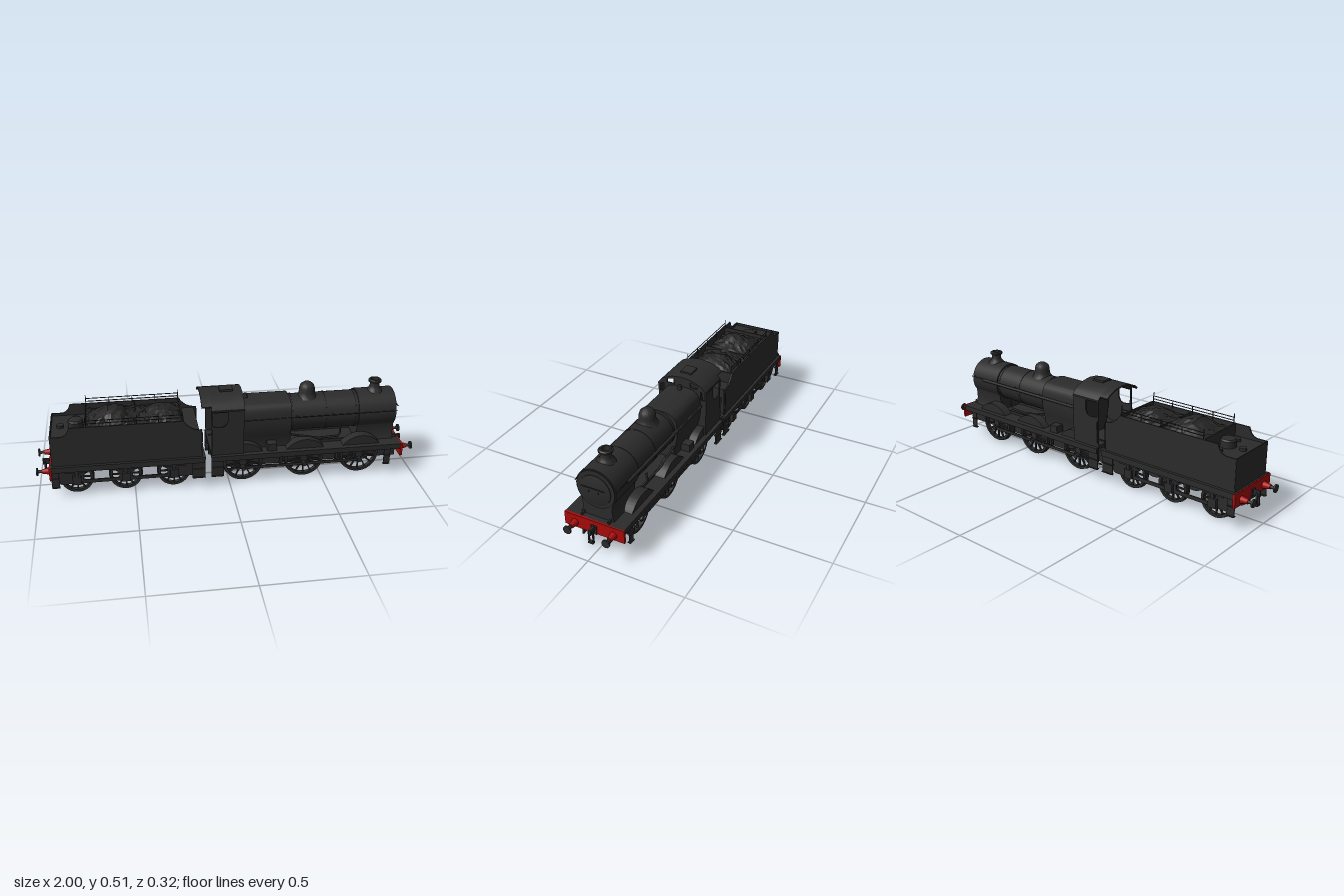
import * as THREE from 'three';
import { toCreasedNormals } from 'three/addons/utils/BufferGeometryUtils.js';

const mat = (name, color) => Object.assign(new THREE.MeshStandardMaterial({ color }), { name });
const black = mat('black paint', 0x2b2b2b);
const red = mat('buffer beam red', 0xa80c0c);
const coalMat = mat('coal', 0x262626);

function add(parent, name, geo, m = black, x = 0, y = 0, z = 0) {
  const mesh = new THREE.Mesh(geo, m);
  mesh.name = name;
  mesh.position.set(x, y, z);
  parent.add(mesh);
  return mesh;
}
// Box given by its limits
const box = (p, name, x0, x1, y0, y1, z0, z1, m) =>
  add(p, name, new THREE.BoxGeometry(x1 - x0, y1 - y0, z1 - z0), m, (x0 + x1) / 2, (y0 + y1) / 2, (z0 + z1) / 2);
const poly = pts => new THREE.Shape(pts.map(p => new THREE.Vector2(...p)));
const hole = (shape, pts) => { shape.holes.push(poly(pts)); return shape; };
const extrude = (shape, depth) => toCreasedNormals(
  new THREE.ExtrudeGeometry(shape, { depth, bevelEnabled: false, curveSegments: 16 }), 0.6);
// Side outline (x, y) extruded along z
const plateZ = (p, name, shape, z0, z1, m) => add(p, name, extrude(shape, z1 - z0), m, 0, 0, z0);
// Cross-section (z, y) extruded along x
const plateX = (p, name, shape, x0, x1, m) => add(p, name, extrude(shape, x1 - x0).rotateY(Math.PI / 2), m, x0);
// Cylinder along x
const cylX = (p, name, r, x0, x1, y, z, m, seg = 40) =>
  add(p, name, new THREE.CylinderGeometry(r, r, x1 - x0, seg).rotateZ(-Math.PI / 2), m, (x0 + x1) / 2, y, z);
const lathe = (pts, seg = 36) => toCreasedNormals(
  new THREE.LatheGeometry(pts.map(p => new THREE.Vector2(...p)), seg), 0.6);
// Thin bar along straight segments
function rod(p, name, pts, r) {
  const path = new THREE.CurvePath();
  const v = pts.map(q => new THREE.Vector3(...q));
  for (let i = 1; i < v.length; i++) path.add(new THREE.LineCurve3(v[i - 1], v[i]));
  add(p, name, new THREE.TubeGeometry(path, (v.length - 1) * 4, r, 6));
}
// Builds a part on +z and mirrors it to -z
function bothSides(parent, name, build) {
  for (const s of [1, -1]) {
    const g = new THREE.Group();
    g.name = name;
    g.scale.z = s;
    build(g);
    parent.add(g);
  }
}

function wheel(p, x, r, spokes) {
  const g = new THREE.Group();
  g.name = 'wheel';
  g.position.set(x, r + 0.001, 0.092);
  const t = r - 0.005;
  add(g, 'tyre', lathe([[t - 0.014, -0.012], [r, -0.012], [r, -0.007], [t, -0.005], [t, 0.012], [t - 0.014, 0.012], [t - 0.014, -0.012]], 40).rotateX(Math.PI / 2));
  add(g, 'hub', new THREE.CylinderGeometry(0.02, 0.02, 0.028, 20).rotateX(Math.PI / 2));
  for (let i = 0; i < spokes; i++) {
    const s = add(g, 'spoke', new THREE.BoxGeometry(0.007, r - 0.02, 0.01).translate(0, r / 2, 0));
    s.rotation.z = i / spokes * Math.PI * 2;
  }
  add(g, 'axle', new THREE.CylinderGeometry(0.011, 0.011, 0.092, 12).rotateX(Math.PI / 2), black, 0, 0, -0.046);
  p.add(g);
}

function bufferEnd(parent, dir) {
  const g = new THREE.Group();
  g.name = 'bufferEnd';
  box(g, 'bufferBeam', 0.92, 0.932, 0.115, 0.185, -0.16, 0.16, red);
  bothSides(g, 'buffer', s => {
    add(s, 'bufferHousing', new THREE.CylinderGeometry(0.012, 0.019, 0.038, 20).rotateZ(-Math.PI / 2), red, 0.95, 0.143, 0.103);
    cylX(s, 'bufferShank', 0.008, 0.96, 0.995, 0.143, 0.103, black, 16);
    cylX(s, 'bufferHead', 0.021, 0.992, 1, 0.143, 0.103, black, 28);
    box(s, 'couplingLink', 0.955, 0.965, 0.085, 0.15, 0.009, 0.014);
  });
  box(g, 'couplingHook', 0.93, 0.972, 0.13, 0.16, -0.006, 0.006);
  box(g, 'couplingPlate', 0.93, 0.938, 0.115, 0.162, -0.015, 0.015);
  box(g, 'couplingShackle', 0.952, 0.968, 0.08, 0.09, -0.014, 0.014);
  if (dir < 0) g.rotation.y = Math.PI;
  parent.add(g);
}

function step(p, x0, x1) {
  box(p, 'stepPlate', x0, x1, 0.062, 0.18, 0.144, 0.148);
  box(p, 'stepTread', x0, x1, 0.064, 0.068, 0.136, 0.154);
  box(p, 'stepTread', x0, x1, 0.115, 0.119, 0.136, 0.154);
}

function buildLocomotive(root) {
  const g = new THREE.Group();
  g.name = 'locomotive';
  root.add(g);
  box(g, 'footplate', -0.1, 0.925, 0.175, 0.185, -0.158, 0.158);
  bufferEnd(g, 1);

  // Boiler, smokebox and firebox
  cylX(g, 'boiler', 0.098, 0.3, 0.72, 0.342, 0);
  for (const x of [0.34, 0.52, 0.68]) cylX(g, 'boilerBand', 0.1, x, x + 0.008, 0.342, 0);
  const smoke = new THREE.Shape();
  smoke.moveTo(0.09, 0.18);
  smoke.quadraticCurveTo(0.072, 0.22, 0.0825, 0.277);
  smoke.absarc(0, 0.342, 0.105, -0.667, Math.PI + 0.667, false);
  smoke.quadraticCurveTo(-0.072, 0.22, -0.09, 0.18);
  plateX(g, 'smokebox', smoke, 0.695, 0.895);
  add(g, 'smokeboxDoor', lathe([[0.083, 0], [0.081, 0.008], [0.06, 0.014], [0.03, 0.018], [0, 0.019]], 40).rotateZ(-Math.PI / 2), black, 0.895, 0.338);
  cylX(g, 'smokeboxRim', 0.1, 0.89, 0.9, 0.342, 0);
  rod(g, 'doorRail', [[0.922, 0.362, -0.063], [0.922, 0.362, 0.063]], 0.003);
  for (const z of [-0.025, 0.025]) rod(g, 'doorHandle', [[0.918, 0.345, z], [0.918, 0.335, z]], 0.002);
  const fire = new THREE.Shape();
  fire.moveTo(0.085, 0.18);
  fire.bezierCurveTo(0.085, 0.25, 0.108, 0.27, 0.108, 0.34);
  fire.bezierCurveTo(0.108, 0.42, 0.09, 0.443, 0, 0.443);
  fire.bezierCurveTo(-0.09, 0.443, -0.108, 0.42, -0.108, 0.34);
  fire.bezierCurveTo(-0.108, 0.27, -0.085, 0.25, -0.085, 0.18);
  plateX(g, 'firebox', fire, 0.04, 0.33);
  cylX(g, 'ejectorPipe', 0.008, 0.07, 0.8, 0.355, -0.109, black, 12);
  add(g, 'chimney', lathe([[0.05, -0.014], [0.045, 0], [0.032, 0.012], [0.026, 0.025], [0.025, 0.045], [0.035, 0.05], [0.035, 0.058], [0.028, 0.064], [0.02, 0.064], [0.018, 0.02], [0, 0.02]]), black, 0.8, 0.441);
  add(g, 'dome', lathe([[0.058, -0.012], [0.046, 0.003], [0.042, 0.02], [0.041, 0.04], [0.035, 0.057], [0.02, 0.069], [0, 0.073]]), black, 0.43, 0.439);
  add(g, 'safetyValve', new THREE.CylinderGeometry(0.01, 0.014, 0.03, 16), black, 0.1, 0.45);

  // Cab front, roof and floor
  const front = poly([[-0.137, 0.18], [0.137, 0.18], [0.137, 0.437], [0.104, 0.47], [0.055, 0.49], [0, 0.496], [-0.055, 0.49], [-0.104, 0.47], [-0.137, 0.437]]);
  for (const s of [-1, 1]) {
    hole(front, [[0.045 * s, 0.448], [0.087 * s, 0.448], [0.087 * s, 0.469], [0.045 * s, 0.478]]);
    hole(front, [[0.107 * s, 0.39], [0.129 * s, 0.39], [0.129 * s, 0.428], [0.107 * s, 0.44]]);
  }
  plateX(g, 'cabFront', front, 0.065, 0.073);
  const arc = [[0.14, 0.435], [0.122, 0.458], [0.104, 0.473], [0.055, 0.493], [0, 0.5]];
  const roofShape = half => {
    const full = [...half, ...half.slice(0, -1).reverse().map(([z, y]) => [-z, y])];
    return poly([...full, ...full.slice().reverse().map(([z, y]) => [z * 0.97, y - 0.008])]);
  };
  plateX(g, 'cabRoof', roofShape(arc), -0.095, 0.077);
  plateX(g, 'cabRoofOverhang', roofShape(arc.slice(1)), -0.145, -0.095);
  box(g, 'roofVent', -0.04, 0.03, 0.485, 0.507, -0.03, 0.03);
  box(g, 'cabFloor', -0.1, 0.06, 0.185, 0.195, -0.135, 0.135);

  // Frames, valance, cab side, rods and wheels
  bothSides(g, 'locomotiveSide', s => {
    box(s, 'mainFrame', -0.09, 0.92, 0.075, 0.2, 0.068, 0.076);
    box(s, 'valance', -0.1, 0.925, 0.155, 0.18, 0.15, 0.156);
    const side = poly([[-0.097, 0.18], [0.073, 0.18], [0.073, 0.44], [-0.097, 0.44]]);
    hole(side, [[-0.088, 0.35], [-0.04, 0.345], [-0.022, 0.353], [-0.012, 0.375], [-0.01, 0.43], [-0.088, 0.43]]);
    plateZ(s, 'cabSide', side, 0.131, 0.138);
    rod(s, 'cabHandrail', [[-0.095, 0.21, 0.137], [-0.095, 0.21, 0.145], [-0.095, 0.33, 0.145], [-0.095, 0.33, 0.137]], 0.002);
    rod(s, 'boilerHandrail', [[0.075, 0.36, 0.113], [0.9, 0.36, 0.109]], 0.0025);
    for (const x of [0.36, 0.55, 0.73, 0.88]) rod(s, 'handrailKnob', [[x, 0.36, 0.09], [x, 0.36, 0.112]], 0.004);
    for (const x of [0.075, 0.405, 0.71]) {
      wheel(s, x, 0.109, 14);
      add(s, 'crankPin', new THREE.CylinderGeometry(0.012, 0.012, 0.03, 16).rotateX(Math.PI / 2), black, x, 0.085, 0.113);
      const arch = new THREE.Shape();
      arch.moveTo(x - 0.101, 0.183);
      arch.absarc(x, 0.11, 0.125, Math.PI - 0.624, 0.624, true);
      plateZ(s, 'splasher', arch, 0.077, 0.13);
      box(s, 'brakeBlock', x - 0.13, x - 0.115, 0.075, 0.15, 0.085, 0.102);
      box(s, 'spring', x - 0.06, x + 0.06, 0.06, 0.075, 0.055, 0.07);
    }
    box(s, 'couplingRod', 0.075, 0.71, 0.077, 0.093, 0.112, 0.12);
    box(s, 'brakePullRod', -0.08, 0.66, 0.066, 0.074, 0.09, 0.097);
    box(s, 'sandbox', 0.2, 0.25, 0.18, 0.225, 0.085, 0.135);
    rod(s, 'feedPipe', [[0.33, 0.25, 0.085], [0.48, 0.22, 0.09], [0.6, 0.225, 0.09], [0.6, 0.27, 0.085]], 0.006);
    step(s, -0.1, -0.035);
    step(s, 0.835, 0.87);
  });
}

function coalGeometry() {
  let seed = 7;
  const rnd = () => (seed = (seed * 16807) % 2147483647) / 2147483647;
  const geo = new THREE.PlaneGeometry(0.485, 0.25, 30, 12).rotateX(-Math.PI / 2);
  const p = geo.attributes.position;
  const mound = (x, c, w) => Math.exp(-(((x - c) / w) ** 2));
  for (let i = 0; i < p.count; i++) {
    const x = p.getX(i) - 0.488, z = p.getZ(i);
    const edge = Math.max(0, 1 - (z / 0.125) ** 2);
    p.setY(i, 0.37 + edge * (0.066 * mound(x, -0.59, 0.09) + 0.052 * mound(x, -0.34, 0.09)) + rnd() * 0.011);
  }
  const flat = geo.toNonIndexed();
  flat.computeVertexNormals();
  return flat;
}

function buildTender(root) {
  const g = new THREE.Group();
  g.name = 'tender';
  root.add(g);
  box(g, 'tenderFootplate', -0.925, -0.13, 0.175, 0.187, -0.158, 0.158);
  box(g, 'waterTank', -0.912, -0.16, 0.185, 0.338, -0.138, 0.138);
  box(g, 'tankUnderside', -0.9, -0.15, 0.14, 0.178, -0.065, 0.065);
  bufferEnd(g, -1);

  // Coal space and tank fittings
  add(g, 'coal', coalGeometry(), coalMat, -0.488);
  for (const x of [-0.735, -0.24]) box(g, 'coalBulkhead', x - 0.004, x + 0.004, 0.33, 0.4, -0.135, 0.135);
  box(g, 'coalDivider', -0.479, -0.473, 0.34, 0.395, -0.135, 0.135);
  add(g, 'waterFiller', lathe([[0.04, 0], [0.04, 0.035], [0.034, 0.043], [0, 0.047]], 28), black, -0.785, 0.336);
  for (const [x, z] of [[-0.865, 0], [-0.785, 0.08], [-0.785, -0.08]])
    add(g, 'tankVent', new THREE.CylinderGeometry(0.018, 0.018, 0.016, 20), black, x, 0.344, z);

  bothSides(g, 'tenderSide', s => {
    // Side sheet with swept ends
    const sheet = new THREE.Shape();
    sheet.moveTo(-0.915, 0.185);
    sheet.lineTo(-0.147, 0.185);
    sheet.lineTo(-0.147, 0.342);
    sheet.bezierCurveTo(-0.19, 0.342, -0.215, 0.36, -0.24, 0.398);
    sheet.lineTo(-0.815, 0.4);
    sheet.bezierCurveTo(-0.825, 0.37, -0.835, 0.355, -0.86, 0.352);
    sheet.lineTo(-0.915, 0.352);
    plateZ(s, 'sideSheet', sheet, 0.135, 0.142);
    // Coal rails
    for (const y of [0.414, 0.43]) rod(s, 'coalRail', [[-0.73, y, 0.132], [-0.245, y, 0.132]], 0.0022);
    for (let i = 0; i < 5; i++) {
      const x = -0.73 + i * 0.12125;
      rod(s, 'railPost', [[x, 0.39, 0.132], [x, i % 4 ? 0.43 : 0.45, 0.132]], 0.0025);
    }
    rod(s, 'tenderHandrail', [[-0.145, 0.21, 0.14], [-0.145, 0.21, 0.147], [-0.145, 0.33, 0.147], [-0.145, 0.33, 0.14]], 0.002);
    // Slotted outside frame
    const axles = [-0.797, -0.545, -0.294];
    const frame = poly([[-0.92, 0.115], [-0.88, 0.067], [-0.2, 0.067], [-0.14, 0.115], [-0.14, 0.18], [-0.92, 0.18]]);
    for (let i = 0; i < 2; i++) {
      const a = axles[i] + 0.035, b = axles[i + 1] - 0.035;
      hole(frame, [[a, 0.086], [b, 0.086], [b, 0.115], [b - 0.03, 0.138], [a + 0.03, 0.138], [a, 0.115]]);
    }
    plateZ(s, 'tenderFrame', frame, 0.116, 0.123);
    box(s, 'tenderValance', -0.925, -0.135, 0.155, 0.18, 0.15, 0.156);
    for (const x of axles) {
      wheel(s, x, 0.089, 12);
      box(s, 'axlebox', x - 0.022, x + 0.022, 0.07, 0.118, 0.12, 0.142);
      box(s, 'leafSpring', x - 0.06, x + 0.06, 0.138, 0.15, 0.123, 0.138);
      box(s, 'springBuckle', x - 0.009, x + 0.009, 0.115, 0.155, 0.123, 0.141);
    }
    step(s, -0.925, -0.885);
    step(s, -0.2, -0.132);
  });
  box(g, 'tenderBackSheet', -0.916, -0.91, 0.185, 0.352, -0.14, 0.14);
}

export function createModel() {
  const model = new THREE.Group();
  model.name = 'steamLocomotiveAndTender';
  buildLocomotive(model);
  buildTender(model);
  return model;
}
